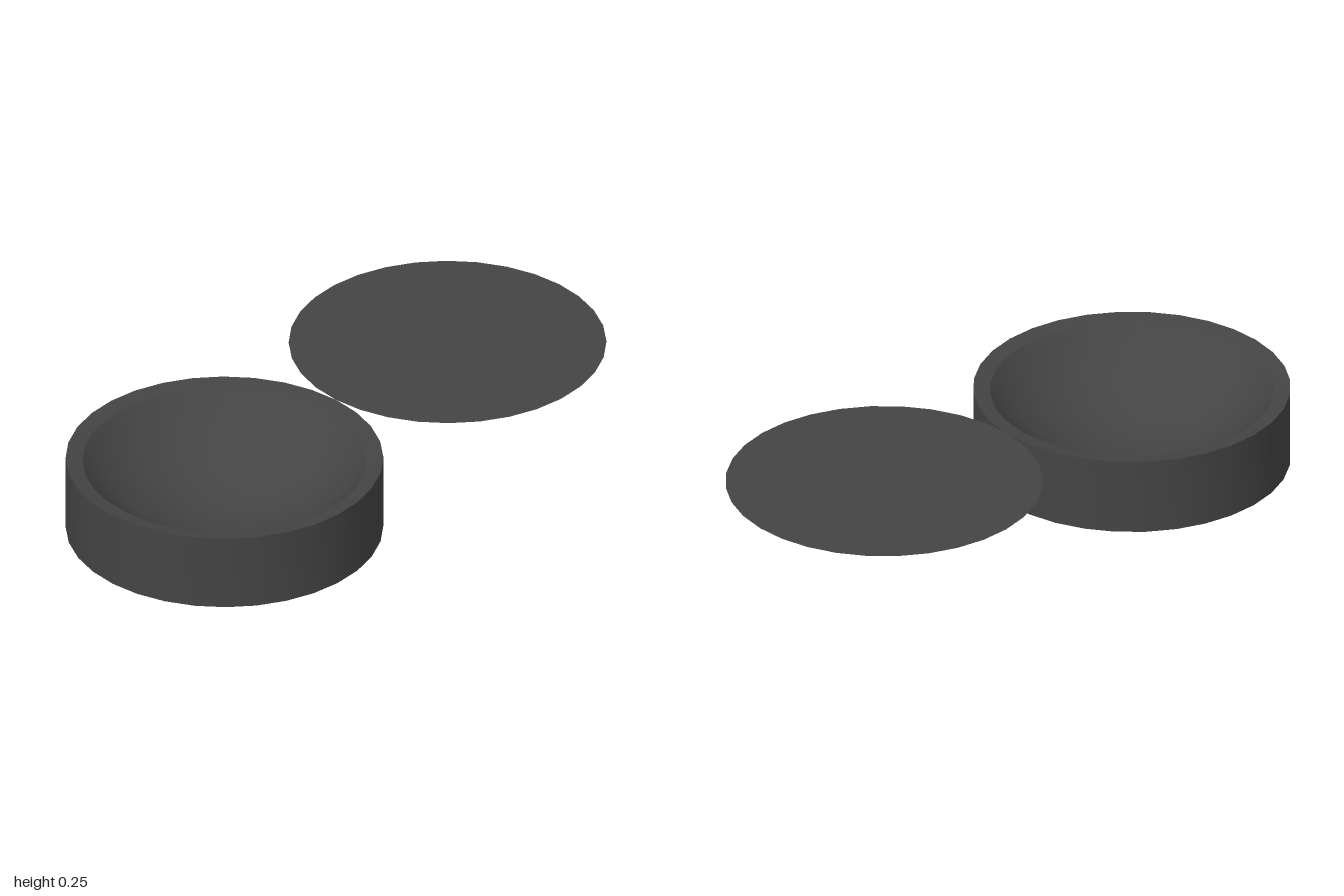
import * as THREE from 'three';
import { toCreasedNormals } from 'three/addons/utils/BufferGeometryUtils.js';

const SEGMENTS = 32;
const RADIUS = 0.5;
const HEIGHT = 0.25;

export function createModel() {
  const group = new THREE.Group();
  const material = new THREE.MeshStandardMaterial({ color: 0x444444, side: THREE.DoubleSide });

  // Round dish: flat base, straight wall, slightly inward-sloping rim, spherical hollow
  const innerRadius = 0.447, innerTop = 0.242, depth = 0.21;
  const sphere = (innerRadius ** 2 + depth ** 2) / (2 * depth);
  const edgeAngle = Math.asin(innerRadius / sphere);
  const profile = [
    new THREE.Vector2(0, 0),
    new THREE.Vector2(RADIUS, 0),
    new THREE.Vector2(RADIUS, HEIGHT),
  ];
  const steps = 14;
  for (let i = 0; i <= steps; i++) {
    const a = edgeAngle * (1 - i / steps);
    const y = innerTop - depth + sphere * (1 - Math.cos(a));
    profile.push(new THREE.Vector2(sphere * Math.sin(a), y));
  }
  const dish = new THREE.Mesh(
    toCreasedNormals(new THREE.LatheGeometry(profile, SEGMENTS), Math.PI / 6),
    material
  );
  dish.name = 'dish';
  dish.position.x = -RADIUS;
  group.add(dish);

  // Thin flat lid lying open beside the dish, level with its rim
  const lid = new THREE.Mesh(new THREE.CircleGeometry(RADIUS, SEGMENTS), material);
  lid.name = 'lid';
  lid.rotation.x = -Math.PI / 2;
  lid.position.set(RADIUS, HEIGHT, 0);
  group.add(lid);

  return group;
}
